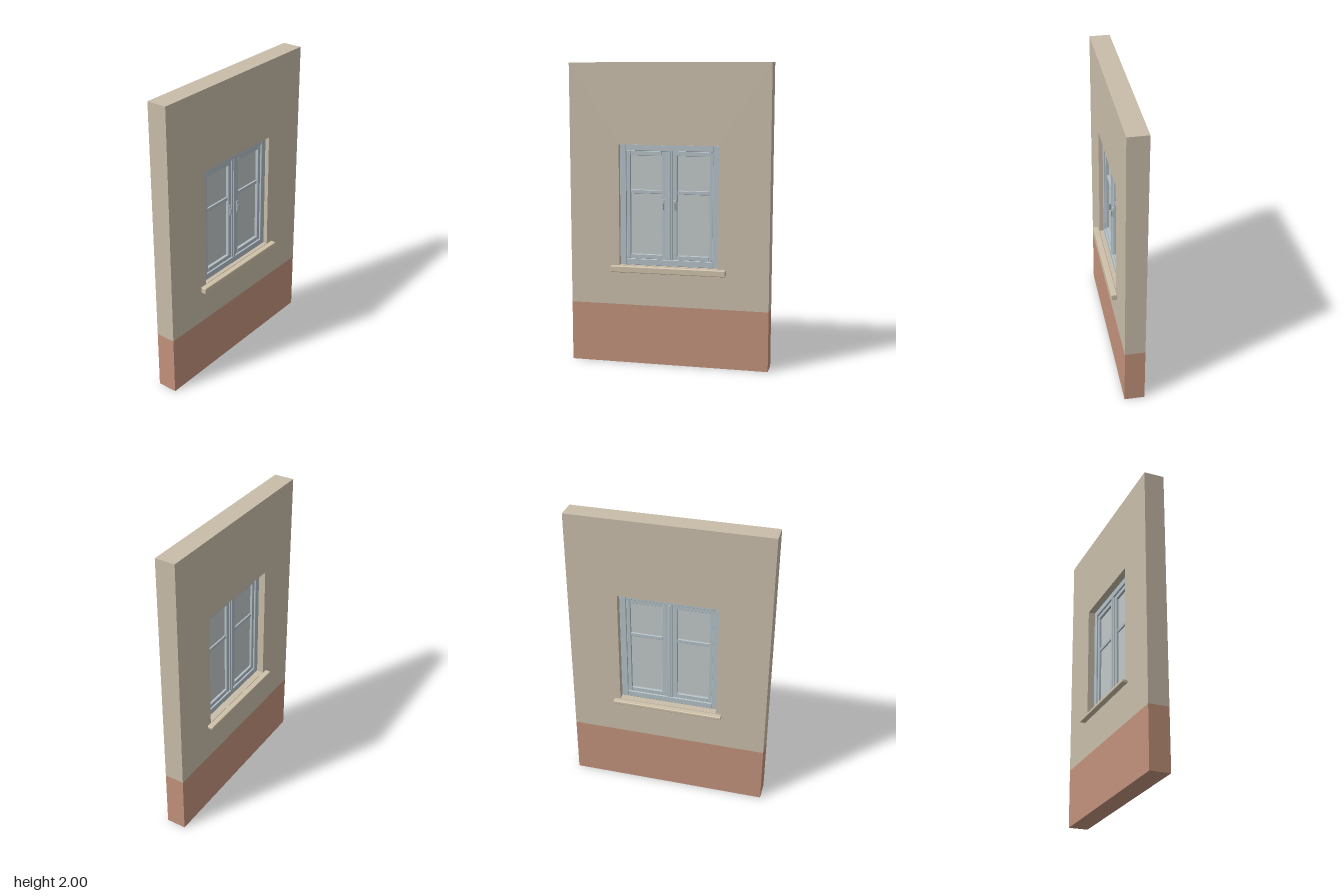
import * as THREE from 'three';
import { RoundedBoxGeometry } from 'three/addons/geometries/RoundedBoxGeometry.js';

const material = (name, color) => {
  const m = new THREE.MeshStandardMaterial({ color });
  m.name = name;
  return m;
};

export function createModel() {
  const model = new THREE.Group();
  model.name = 'wallWithWindow';

  const plaster = material('beige plaster', 0xc9bdaa);
  const basePaint = material('terracotta paint', 0xc2927b);
  const sillStone = material('pale sill', 0xcfc1a9);
  const framePaint = material('blue grey paint', 0xb3c0c7);
  const glassGrey = material('pale glass', 0xc1c8c8);
  const metal = material('handle metal', 0x9aa5ab);

  const W = 0.667, D = 0.067, BASE = 0.4;   // wall half width, half depth, base height
  const X = 0.333, Y0 = 0.667, Y1 = 1.47;   // window opening

  function add(parent, name, geometry, mat) {
    const mesh = new THREE.Mesh(geometry, mat);
    mesh.name = name;
    parent.add(mesh);
    return mesh;
  }

  // Box given by its limits, with optional rounded edges
  function block(parent, name, mat, x0, x1, y0, y1, z0, z1, radius = 0) {
    const size = [x1 - x0, y1 - y0, z1 - z0];
    const geometry = radius
      ? new RoundedBoxGeometry(...size, 2, radius)
      : new THREE.BoxGeometry(...size);
    geometry.translate((x0 + x1) / 2, (y0 + y1) / 2, (z0 + z1) / 2);
    return add(parent, name, geometry, mat);
  }

  // Rectangular ring of four members: stiles at the sides, rails between them
  function ring(parent, name, x0, x1, y0, y1, stileL, stileR, rail, z0, z1) {
    const r = 0.003;
    block(parent, name + 'LeftStile', framePaint, x0, x0 + stileL, y0, y1, z0, z1, r);
    block(parent, name + 'RightStile', framePaint, x1 - stileR, x1, y0, y1, z0, z1, r);
    block(parent, name + 'TopRail', framePaint, x0 + stileL, x1 - stileR, y1 - rail, y1, z0, z1, r);
    block(parent, name + 'BottomRail', framePaint, x0 + stileL, x1 - stileR, y0, y0 + rail, z0, z1, r);
  }

  // Plastered wall with the window opening, above a painted base
  const outline = new THREE.Shape([
    new THREE.Vector2(-W, BASE), new THREE.Vector2(W, BASE),
    new THREE.Vector2(W, 2), new THREE.Vector2(-W, 2),
  ]);
  outline.holes.push(new THREE.Path([
    new THREE.Vector2(-X, Y0), new THREE.Vector2(-X, Y1),
    new THREE.Vector2(X, Y1), new THREE.Vector2(X, Y0),
  ]));
  const wall = new THREE.ExtrudeGeometry(outline, { depth: 2 * D, bevelEnabled: false });
  wall.translate(0, 0, -D);
  add(model, 'wall', wall, plaster);
  block(model, 'paintedBase', basePaint, -W, W, 0, BASE, -D, D);

  // Sills on both faces
  block(model, 'frontSill', sillStone, -0.386, 0.386, 0.625, 0.667, D, 0.106, 0.005);
  block(model, 'backSill', sillStone, -0.372, 0.372, 0.646, 0.667, -0.106, -D, 0.005);

  // Fixed outer frame, set back from both wall faces
  const frame = new THREE.Group();
  frame.name = 'windowFrame';
  model.add(frame);
  ring(frame, 'frame', -X, X, Y0, Y1, 0.042, 0.042, 0.042, -0.022, 0.04);

  // Two casements, each with glass, a glazing bar and a handle
  for (const side of [-1, 1]) {
    const casement = new THREE.Group();
    casement.name = side > 0 ? 'leftCasement' : 'rightCasement';
    model.add(casement);
    const outer = 0.291, inner = 0.021;
    const x0 = side > 0 ? inner : -outer, x1 = side > 0 ? outer : -inner;
    const stileL = side > 0 ? 0.03 : 0.026, stileR = side > 0 ? 0.026 : 0.03;
    ring(casement, 'casement', x0, x1, 0.709, 1.428, stileL, stileR, 0.03, -0.012, 0.03);
    const g0 = x0 + stileL, g1 = x1 - stileR;
    block(casement, 'glass', glassGrey, g0, g1, 0.739, 1.398, 0.004, 0.01);
    block(casement, 'glazingBar', framePaint, g0, g1, 1.145, 1.17, -0.006, 0.022, 0.003);
    // Handle plate and lever
    const hx = side * 0.038;
    block(casement, 'handlePlate', framePaint, hx - 0.009, hx + 0.009, 1.035, 1.11, 0.028, 0.036, 0.002);
    block(casement, 'handleLever', metal, hx - 0.004, hx + 0.004, 1.045, 1.09, 0.036, 0.048, 0.002);
  }

  // Meeting post between the casements
  block(model, 'meetingPost', framePaint, -0.022, 0.022, 0.709, 1.428, -0.018, 0.035, 0.003);
  block(model, 'meetingPostBead', framePaint, -0.008, 0.008, 0.709, 1.428, -0.024, 0.04, 0.003);

  return model;
}
